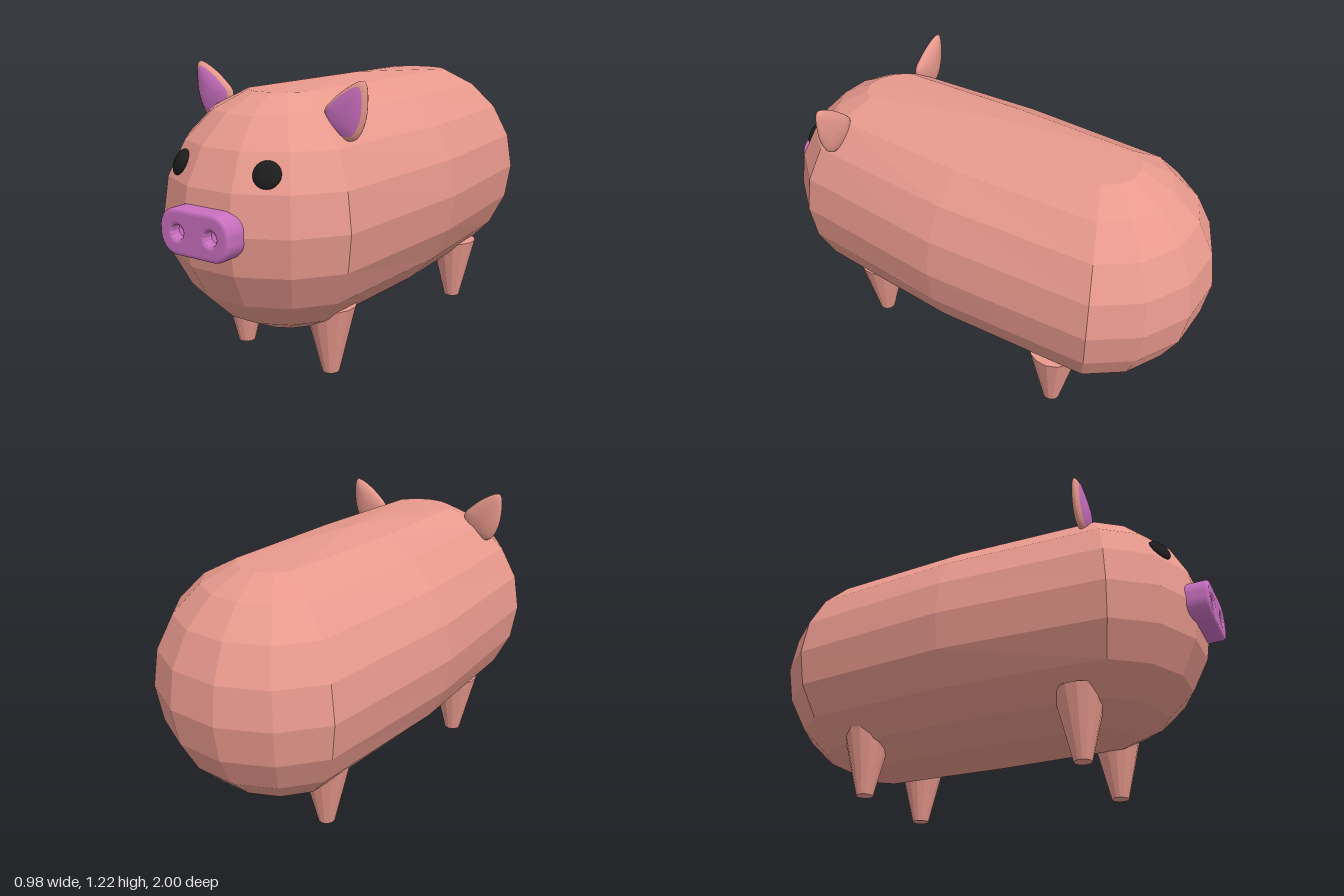
import * as THREE from 'three';

const mat = (color, extra = {}) => new THREE.MeshStandardMaterial({ color, ...extra });
const skin = mat(0xe8998d);
const skinFlat = mat(0xe8998d, { flatShading: true });
const pink = mat(0xc86fbe, { side: THREE.DoubleSide });
const black = mat(0x1c1c1c);

function add(parent, name, geometry, material, x = 0, y = 0, z = 0) {
  const mesh = new THREE.Mesh(geometry, material);
  mesh.name = name;
  mesh.position.set(x, y, z);
  parent.add(mesh);
  return mesh;
}

// Low-poly sphere pulled apart into a barrel; the side ring and poles stay in the middle
function bodyGeometry() {
  const g = new THREE.SphereGeometry(0.49, 14, 10);
  const p = g.attributes.position;
  for (let i = 0; i < p.count; i++) {
    const z = p.getZ(i);
    if (Math.abs(z) > 1e-5) p.setZ(i, z + Math.sign(z) * 0.493);
  }
  g.computeVertexNormals();
  return g;
}

// Puffed cushion over an outline; cap < 1 keeps only the middle of the front face
const EAR = [[0.065, 0.115], [0, 0.085], [-0.06, 0.04], [-0.095, 0], [-0.075, -0.07],
  [0, -0.105], [0.045, -0.095], [0.08, -0.03], [0.09, 0.06], [0.082, 0.108]];
function earGeometry(side, cap) {
  const pts = EAR.map(([x, y]) => new THREE.Vector3(x * side, y, 0));
  if (side < 0) pts.reverse();
  const outline = new THREE.CatmullRomCurve3(pts, true);
  const g = new THREE.SphereGeometry(1, 30, 14, 0, Math.PI * 2, 0, cap < 1 ? Math.asin(cap) : Math.PI);
  g.rotateX(Math.PI / 2);
  const p = g.attributes.position;
  for (let i = 0; i < p.count; i++) {
    const x = p.getX(i), y = p.getY(i);
    const u = (Math.atan2(y, x) / (Math.PI * 2) + 1) % 1;
    const q = outline.getPoint(u).multiplyScalar(Math.hypot(x, y));
    p.setXYZ(i, q.x, q.y, p.getZ(i) * 0.028);
  }
  g.computeVertexNormals();
  return g;
}

// Rounded plate with two nostril openings
function snoutGeometry(nostrils, holeRadius) {
  const w = 0.147, h = 0.072, r = 0.06;
  const s = new THREE.Shape();
  s.absarc(w - r, h - r, r, 0, Math.PI / 2);
  s.absarc(-w + r, h - r, r, Math.PI / 2, Math.PI);
  s.absarc(-w + r, -h + r, r, Math.PI, Math.PI * 1.5);
  s.absarc(w - r, -h + r, r, Math.PI * 1.5, Math.PI * 2);
  for (const x of nostrils) s.holes.push(new THREE.Path().absarc(x, 0, holeRadius, 0, Math.PI * 2, true));
  return new THREE.ExtrudeGeometry(s, {
    depth: 0.09, bevelSize: 0.015, bevelThickness: 0.012, bevelSegments: 3, curveSegments: 6,
  });
}

export function createModel() {
  const model = new THREE.Group();
  model.name = 'pig';
  add(model, 'body', bodyGeometry(), skinFlat, 0, 0.655, -0.028);

  // Legs: tapered posts, each placed a little unevenly
  const legs = [
    ['frontLeftLeg', 0.21, 0, 0.48], ['frontRightLeg', -0.23, 0.03, 0.48],
    ['backLeftLeg', 0.253, 0.025, -0.505], ['backRightLeg', -0.21, 0.03, -0.505],
  ];
  for (const [name, x, y, z] of legs) {
    add(model, name, new THREE.CylinderGeometry(0.106, 0.036, 0.285, 14), skinFlat, x, y + 0.1425, z);
  }

  // Eyes: flattened discs lying on the curve of the head
  for (const [name, x] of [['leftEye', 0.2], ['rightEye', -0.21]]) {
    const eye = add(model, name, new THREE.SphereGeometry(0.052, 20, 14), black, x, 0.87, 0.838);
    eye.lookAt(x * 2, 0.87 + 0.215, 0.838 + 0.38);
    eye.scale.z = 0.4;
  }

  // Ears with a pink inner face
  for (const [name, side, x, y, z] of [['leftEar', 1, 0.34, 1.065, 0.557], ['rightEar', -1, -0.295, 1.1, 0.55]]) {
    const ear = new THREE.Group();
    ear.name = name;
    ear.position.set(x, y, z);
    add(ear, 'earShell', earGeometry(side, 1), skin);
    add(ear, 'innerEar', earGeometry(side, 0.83), pink, 0, 0, 0.002);
    model.add(ear);
  }

  // Snout with bowl-shaped nostrils
  const snout = new THREE.Group();
  snout.name = 'snout';
  snout.position.set(-0.007, 0.658, 0.898);
  const nostrils = [-0.078, 0.078];
  add(snout, 'snoutPlate', snoutGeometry(nostrils, 0.043), pink);
  const bowl = [[0, 0], [0.018, 0.002], [0.03, 0.012], [0.04, 0.03], [0.043, 0.045]]
    .map(([r, d]) => new THREE.Vector2(r, d));
  for (const x of nostrils) {
    const nostril = add(snout, 'nostril', new THREE.LatheGeometry(bowl, 18), pink, x, 0, 0.053);
    nostril.rotation.x = Math.PI / 2;
  }
  model.add(snout);
  return model;
}
